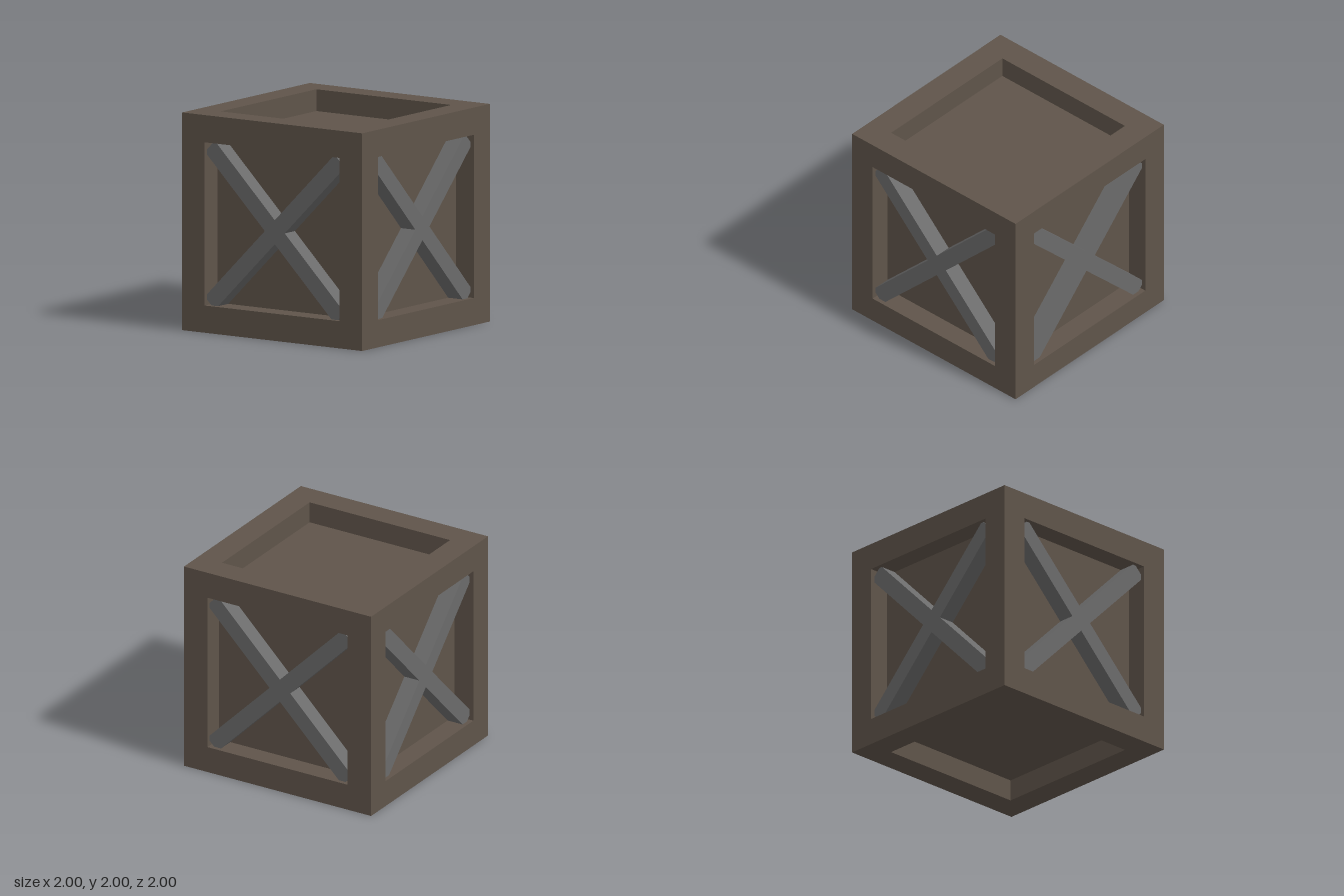
import * as THREE from 'three';
import { mergeGeometries } from 'three/addons/utils/BufferGeometryUtils.js';

const HALF = 1;        // half the crate's edge
const OPEN = 0.75;     // half the recess opening
const PANEL = 0.8;     // distance of the sunken panel from the centre
const BRACE_FRONT = 0.96;

const square = (C, h) => new C([[-h, -h], [h, -h], [h, h], [-h, h]].map(([x, y]) => new THREE.Vector2(x, y)));

// Square rim plus the four walls of its recess, facing +z
function rimGeometry() {
  const outline = square(THREE.Shape, HALF);
  outline.holes.push(square(THREE.Path, OPEN));
  const parts = [new THREE.ShapeGeometry(outline).translate(0, 0, HALF)];
  for (let i = 0; i < 4; i++) {
    parts.push(new THREE.PlaneGeometry(2 * OPEN, HALF - PANEL)
      .rotateX(-Math.PI / 2)
      .translate(0, -OPEN, (HALF + PANEL) / 2)
      .rotateZ(i * Math.PI / 2));
  }
  return mergeGeometries(parts);
}

// Crossed bars as one solid, ends buried in the rim's corners
function braceGeometry() {
  const w = 0.078, l = 1.02;
  const points = [];
  for (let i = 0; i < 4; i++) {
    for (const [x, y] of [[l, -w], [l, w], [w, w]]) {
      points.push(new THREE.Vector2(x, y).rotateAround(new THREE.Vector2(), Math.PI / 4 + i * Math.PI / 2));
    }
  }
  return new THREE.ExtrudeGeometry(new THREE.Shape(points), { depth: BRACE_FRONT - PANEL, bevelEnabled: false })
    .translate(0, -0.01, PANEL);
}

export function createModel() {
  const wood = new THREE.MeshStandardMaterial({ color: 0x5f544a });
  const metal = new THREE.MeshStandardMaterial({ color: 0x6b6b6b });
  const rim = rimGeometry();
  const panel = new THREE.PlaneGeometry(2 * OPEN, 2 * OPEN).translate(0, 0, PANEL);
  const brace = braceGeometry();

  const crate = new THREE.Group();
  crate.name = 'crate';

  const addMesh = (parent, name, geometry, material) => {
    const mesh = new THREE.Mesh(geometry, material);
    mesh.name = name;
    parent.add(mesh);
  };

  // Six sides: the four upright ones carry cross braces
  const q = Math.PI / 2;
  const sides = [
    ['front', 0, 0], ['left', 0, q], ['back', 0, 2 * q], ['right', 0, -q],
    ['top', -q, 0], ['bottom', q, 0],
  ];
  for (const [name, rx, ry] of sides) {
    const side = new THREE.Group();
    side.name = name + 'Side';
    side.rotation.set(rx, ry, 0);
    side.position.y = HALF;
    addMesh(side, name + 'Rim', rim, wood);
    addMesh(side, name + 'Panel', panel, wood);
    if (rx === 0) addMesh(side, name + 'CrossBrace', brace, metal);
    crate.add(side);
  }
  return crate;
}
